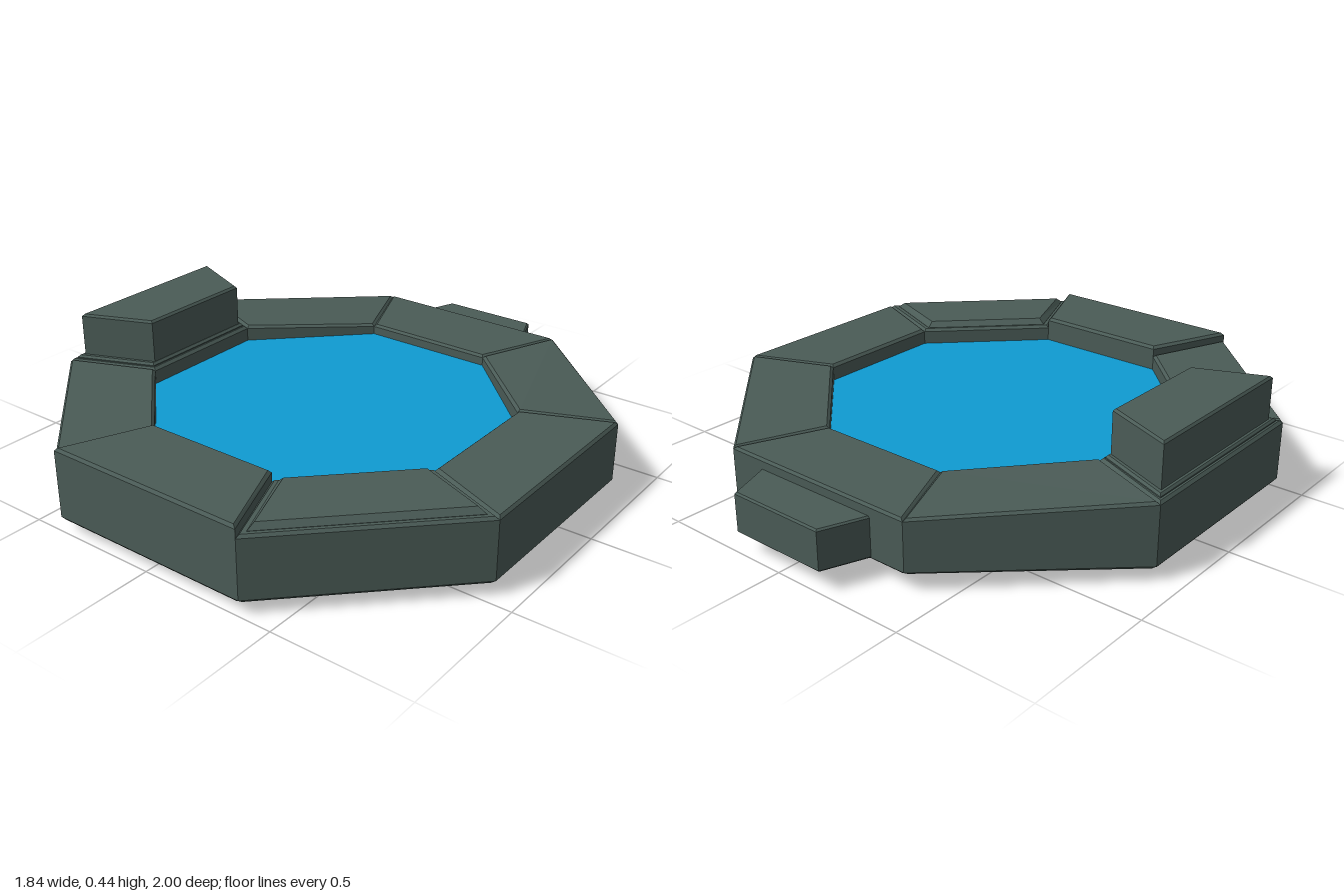
import * as THREE from 'three';

const TAN = Math.tan(Math.PI / 8);
const OUTER = 0.92, INNER = 0.61, CENTRE_Z = 0.08;

// Octagon sector outline: x runs outward, y runs along the side
function sector(r0, r1, inset = 0) {
  const a = r0 * TAN - inset, b = r1 * TAN - inset;
  return [[r0, -a], [r1, -b], [r1, b], [r0, a]];
}

function octagon(apothem) {
  const r = apothem / Math.cos(Math.PI / 8);
  return Array.from({ length: 8 }, (_, i) => {
    const a = (i + 0.5) * Math.PI / 4;
    return [r * Math.cos(a), r * Math.sin(a)];
  });
}

// Upright prism from y0 to y1 with small chamfers
function prism(points, y0, y1, bevel = 0.01, bevelHeight = bevel) {
  const shape = new THREE.Shape(points.map(([x, y]) => new THREE.Vector2(x, y)));
  const geo = new THREE.ExtrudeGeometry(shape, {
    depth: y1 - y0 - 2 * bevelHeight, bevelEnabled: true, bevelSegments: 1,
    bevelSize: bevel, bevelThickness: bevelHeight, bevelOffset: -bevel,
  });
  geo.rotateX(-Math.PI / 2);
  geo.translate(0, y0 + bevelHeight, 0);
  return geo;
}

// Thin the section toward the back; dir is the tangent sense, 0 thins it all
function thin(geo, dir) {
  const p = geo.attributes.position;
  for (let i = 0; i < p.count; i++) {
    const u = dir === 0 ? 1 : THREE.MathUtils.clamp(0.5 - dir * p.getZ(i) / (2 * p.getX(i) * TAN), 0, 1);
    p.setY(i, 0.16 + (p.getY(i) - 0.16) * (1 - 0.18 * u));
  }
  geo.computeVertexNormals();
  return geo;
}

export function createModel() {
  const stone = new THREE.MeshStandardMaterial({ color: 0x4a5b56 });
  stone.name = 'slate';
  const blue = new THREE.MeshStandardMaterial({ color: 0x0f9bd2 });
  blue.name = 'water blue';

  const model = new THREE.Group();
  model.name = 'octagonalPool';
  const add = (name, geo, material, side = 0) => {
    const mesh = new THREE.Mesh(geo, material);
    mesh.name = name;
    mesh.rotation.y = side * Math.PI / 4;
    mesh.position.z = CENTRE_Z;
    model.add(mesh);
  };

  // Base slab and water surface
  add('base', prism(octagon(0.695), 0, 0.06, 0.008), stone);
  const water = new THREE.ShapeGeometry(
    new THREE.Shape(octagon(INNER + 0.005).map(([x, y]) => new THREE.Vector2(x, y))));
  water.rotateX(-Math.PI / 2);
  water.translate(0, 0.215, 0);
  add('water', water, blue);

  // Rim sections: 0 is +x, 2 the back, 4 is -x, 6 the front
  const names = ['leftRim', 'backLeftRim', 'backRim', 'backRightRim',
    'rightRim', 'frontRightRim', 'frontRim', 'frontLeftRim'];
  const thinning = { 1: 1, 2: 0, 3: -1 };
  names.forEach((name, k) => {
    const geo = prism(sector(INNER, OUTER), 0.045, k === 6 ? 0.307 : 0.275);
    if (k in thinning) thin(geo, thinning[k]);
    add(name, geo, stone, k);
  });

  // Raised panel on the front left section
  add('raisedPanel', prism(sector(0.625, 0.9, 0.025), 0.255, 0.296, 0.02), stone, 7);

  // Tall block with a low plinth on the right section
  add('blockPlinth', prism(sector(0.625, 0.905, 0.015), 0.265, 0.287, 0.008), stone, 4);
  add('tallBlock', prism(sector(0.635, 0.89, 0.035), 0.27, 0.445, 0.008), stone, 4);

  // Spout block projecting from the back
  add('backBlock', prism([[0.88, -0.26], [1.08, -0.185], [1.08, 0.185], [0.88, 0.26]],
    0.072, 0.217, 0.006), stone, 2);

  return model;
}
